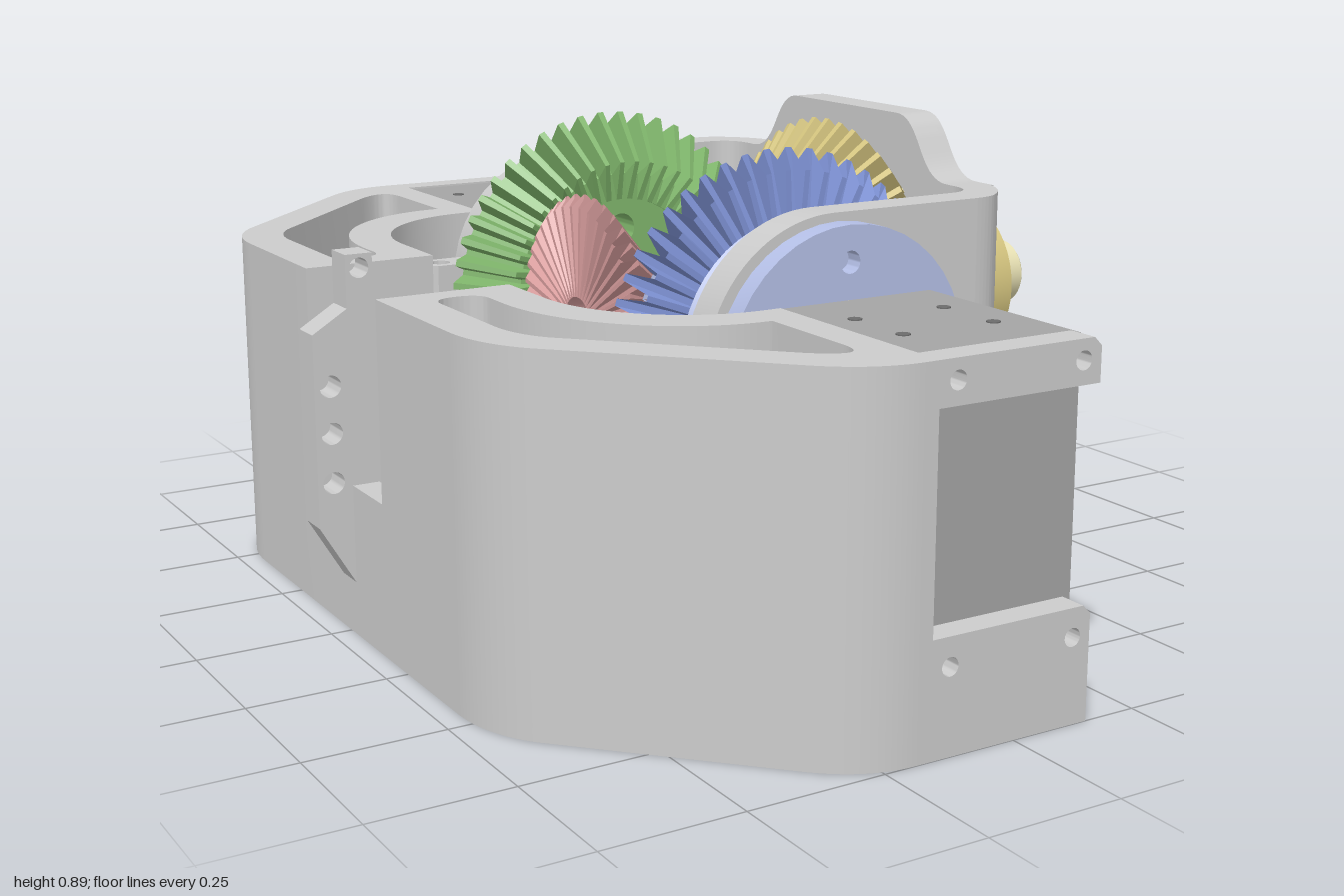
import * as THREE from 'three';
import { toCreasedNormals } from 'three/addons/utils/BufferGeometryUtils.js';

const GREY = 0xcccccc, MOTOR = 0xa4a4a4, DARK = 0x6c6c6c, BLUE = 0x7f93d6, PALE_BLUE = 0xb4bfe6,
  GREEN = 0x7fb56b, YELLOW = 0xd6c680, PALE_YELLOW = 0xe8e1b4, PINK = 0xd69c9c;
const AXIS_Y = 0.515, H = 0.64;

function add(parent, name, geo, color = GREY, side = THREE.FrontSide) {
  const mesh = new THREE.Mesh(geo, new THREE.MeshStandardMaterial({ color, side }));
  mesh.name = name;
  parent.add(mesh);
  return mesh;
}
function box(x0, x1, y0, y1, z0, z1) {
  return new THREE.BoxGeometry(x1 - x0, y1 - y0, Math.abs(z1 - z0))
    .translate((x0 + x1) / 2, (y0 + y1) / 2, (z0 + z1) / 2);
}
const poly = pts => new THREE.Shape(pts.map(p => new THREE.Vector2(p[0], p[1])));
function hole(shape, x, y, r) {
  shape.holes.push(new THREE.Path().absarc(x, y, r, 0, Math.PI * 2, true));
  return shape;
}
function extrude(shape, depth) {
  const g = new THREE.ExtrudeGeometry(shape, { depth, bevelEnabled: false, curveSegments: 20 });
  return toCreasedNormals(g, 0.5);
}
// plan shape (x, z) raised from y0 to y1
const slab = (shape, y0, y1) => extrude(shape, y1 - y0).rotateX(Math.PI / 2).translate(0, y1, 0);
const lathe = (pts, seg = 48, start = 0, length = Math.PI * 2) => toCreasedNormals(
  new THREE.LatheGeometry(pts.map(p => new THREE.Vector2(p[0], p[1])), seg, start, length), 0.5);
// disc on the z axis with a ring of holes
function holedDisc(r, holeR, ringR, z0, z1) {
  const s = new THREE.Shape().absarc(0, 0, r, 0, Math.PI * 2);
  for (let k = 0; k < 4; k++) {
    const a = k * Math.PI / 2;
    hole(s, ringR * Math.cos(a), ringR * Math.sin(a), holeR);
  }
  return extrude(s, z1 - z0).translate(0, 0, z0);
}
// 45 degree bevel gear on the z axis, apex at the origin
function bevelGear(teeth, s0, s1, bore, h0, phase = 0) {
  const steps = [[0, -1], [0.26, -1], [0.48, 1], [0.76, 1]];
  const h1 = h0 * s1 / s0, pos = [], index = [], n = teeth * 4;
  for (let i = 0; i < n; i++) {
    const [t, h] = steps[i % 4];
    const a = (Math.floor(i / 4) + t + phase) / teeth * Math.PI * 2;
    const profile = [[bore, s0 + h0], [s0 + h * h0, s0 - h * h0], [s1 + h * h1, s1 - h * h1], [bore, s1 + h1]];
    for (const [r, z] of profile) pos.push(r * Math.cos(a), r * Math.sin(a), z);
    for (let j = 0; j < 4; j++) {
      const k = (j + 1) % 4, m = (i + 1) % n;
      index.push(i * 4 + j, i * 4 + k, m * 4 + k, i * 4 + j, m * 4 + k, m * 4 + j);
    }
  }
  const g = new THREE.BufferGeometry();
  g.setAttribute('position', new THREE.Float32BufferAttribute(pos, 3));
  g.setIndex(index);
  const flat = g.toNonIndexed();
  flat.computeVertexNormals();
  return flat;
}

function frameSide(parent, s) {
  // outer wall and curved inner wall around a through pocket
  const wall = new THREE.Shape();
  wall.moveTo(-0.71, 0.16 * s);
  wall.lineTo(-0.71, 0.45 * s);
  wall.quadraticCurveTo(-0.71, 0.55 * s, -0.65, 0.62 * s);
  wall.lineTo(-0.35, 0.93 * s);
  wall.quadraticCurveTo(-0.28, 1 * s, -0.19, 1 * s);
  wall.lineTo(-0.165, 1 * s);
  wall.lineTo(-0.165, 0.57 * s);
  wall.lineTo(-0.2, 0.57 * s);
  wall.bezierCurveTo(-0.34, 0.57 * s, -0.46, 0.45 * s, -0.46, 0.3 * s);
  wall.lineTo(-0.46, 0.16 * s);
  const pocket = new THREE.Path();
  pocket.moveTo(-0.63, 0.25 * s);
  pocket.quadraticCurveTo(-0.63, 0.21 * s, -0.585, 0.21 * s);
  pocket.quadraticCurveTo(-0.54, 0.21 * s, -0.54, 0.25 * s);
  pocket.lineTo(-0.54, 0.3 * s);
  pocket.bezierCurveTo(-0.54, 0.49 * s, -0.4, 0.645 * s, -0.23, 0.645 * s);
  pocket.lineTo(-0.23, 0.84 * s);
  pocket.quadraticCurveTo(-0.23, 0.93 * s, -0.31, 0.86 * s);
  pocket.lineTo(-0.59, 0.57 * s);
  pocket.quadraticCurveTo(-0.63, 0.52 * s, -0.63, 0.45 * s);
  wall.holes.push(pocket);
  add(parent, 'frameWall', slab(wall, 0, H));

  // motor mount
  const floor = poly([[-0.165, 0.56 * s], [0.15, 0.56 * s], [0.15, s], [-0.165, s]]);
  for (const x of [-0.1, 0.08]) for (const z of [0.69, 0.82]) hole(floor, x, z * s, 0.015);
  add(parent, 'mountFloor', slab(floor, 0, 0.11));
  for (const [y0, y1, hy] of [[0.11, 0.2, 0.15], [0.565, H, 0.605]]) {
    const bar = poly([[-0.165, y0], [0.15, y0], [0.15, y1 - 0.015], [0.135, y1], [-0.165, y1]]);
    hole(hole(bar, -0.13, hy, 0.016), 0.115, hy, 0.016);
    add(parent, 'mountBar', extrude(bar, 0.055)).position.z = s > 0 ? 0.945 : -1;
  }
  add(parent, 'motor', box(-0.165, 0.15, 0.11, 0.636, 0.56 * s, 0.95 * s), MOTOR);
  for (const z of [0.69, 0.82]) {
    for (const x of [-0.1, 0.08])
      add(parent, 'screwHole', new THREE.CylinderGeometry(0.012, 0.012, 0.004, 12), DARK).position.set(x, 0.636, z * s);
    for (const y of [0.19, 0.465])
      add(parent, 'screwHole', new THREE.CylinderGeometry(0.012, 0.012, 0.004, 12).rotateZ(Math.PI / 2), DARK)
        .position.set(0.15, y, z * s);
  }
}

function frameMiddle(parent) {
  const plate = poly([[-0.71, -0.2], [-0.46, -0.22], [-0.33, -0.21], [-0.27, -0.17], [-0.245, -0.1],
    [-0.245, 0.1], [-0.27, 0.17], [-0.33, 0.21], [-0.46, 0.22], [-0.71, 0.2]]);
  for (const x of [-0.525, -0.39]) for (const z of [-0.09, 0.09]) hole(plate, x, z, 0.023);
  add(parent, 'middlePlate', slab(plate, 0, 0.11));
  add(parent, 'lowBackWall', box(-0.71, -0.66, 0.1, 0.28, -0.17, 0.17));
  // upright rear bracket
  const bracket = poly([[-0.66, 0.1], [-0.66, 0.695], [-0.71, 0.695], [-0.71, 0.6], [-0.775, 0.56], [-0.775, 0.21], [-0.71, 0.1]]);
  for (const y of [0.29, 0.38, 0.465]) hole(bracket, -0.745, y, 0.02);
  hole(bracket, -0.685, 0.67, 0.018);
  add(parent, 'rearBracket', extrude(bracket, 0.06).translate(0, 0, -0.03));
}

function carrierSide(parent, discColor) {
  const arm = new THREE.Shape();
  arm.moveTo(0.31, -0.258);
  arm.lineTo(0.31, 0.258);
  arm.lineTo(0, 0.258);
  arm.absarc(0, 0, 0.258, Math.PI / 2, Math.PI * 1.5);
  add(parent, 'carrierArm', extrude(arm, 0.07).translate(0, 0, 0.415));
  const ear = poly([[-0.2, 0.415], [-0.2, 0.485], [-0.335, 0.485], [-0.355, 0.465], [-0.355, 0.435], [-0.335, 0.415]]);
  add(parent, 'carrierEar', slab(hole(ear, -0.315, 0.45, 0.02), -0.05, 0.05));
  // rounded corner joining arm and plate
  const corner = new THREE.Shape();
  corner.moveTo(0.3, 0.415);
  corner.quadraticCurveTo(0.36, 0.415, 0.36, 0.35);
  corner.lineTo(0.43, 0.35);
  corner.quadraticCurveTo(0.425, 0.42, 0.36, 0.47);
  corner.quadraticCurveTo(0.34, 0.485, 0.3, 0.485);
  add(parent, 'carrierCorner', slab(corner, -0.258, 0.258));
  const tab = poly([[0.31, 0.42], [0.41, 0.42], [0.41, 0.485], [0.31, 0.485]]);
  add(parent, 'cornerTab', slab(hole(tab, 0.385, 0.46, 0.018), -0.033, 0.033));
  // drive spool with holed flange and motor shaft
  add(parent, 'spool', lathe([[0, 0.345], [0.22, 0.345], [0.235, 0.365], [0.19, 0.4], [0.19, 0.47], [0.235, 0.5], [0, 0.5]])
    .rotateX(Math.PI / 2), discColor);
  add(parent, 'spoolFlange', holedDisc(0.245, 0.02, 0.18, 0.495, 0.535), discColor);
  add(parent, 'motorShaft', new THREE.CylinderGeometry(0.115, 0.115, 0.05, 40).rotateX(Math.PI / 2).translate(0, 0, 0.55));
}

function outputHub(parent) {
  const hub = new THREE.Group();
  hub.name = 'outputHub';
  hub.rotation.y = Math.PI / 2;
  parent.add(hub);
  add(hub, 'hubFlange', holedDisc(0.23, 0.02, 0.185, 0.425, 0.45), YELLOW);
  add(hub, 'hubCollar', holedDisc(0.155, 0.02, 0.11, 0.565, 0.67), YELLOW);
  const shell = [[0.12, 0.44], [0.225, 0.44], [0.19, 0.475], [0.168, 0.515], [0.155, 0.57], [0.115, 0.57], [0.12, 0.44]];
  for (let k = 0; k < 4; k++) {
    const a = Math.PI / 4 + k * Math.PI / 2, gap = 0.15;
    add(hub, 'hubRib', lathe(shell, 14, a + gap, Math.PI / 2 - 2 * gap).rotateX(Math.PI / 2), YELLOW, THREE.DoubleSide);
    const boss = add(hub, 'boltBoss', lathe([[0, 0.44], [0.036, 0.44], [0.036, 0.475], [0.02, 0.475], [0.02, 0.455], [0, 0.455]], 20)
      .rotateX(Math.PI / 2), YELLOW);
    boss.position.set(0.175 * Math.cos(a), 0.175 * Math.sin(a), 0);
  }
  add(hub, 'outputShaft', lathe([[0, 0.2], [0.065, 0.2], [0.065, 0.77], [0.06, 0.775], [0.02, 0.775], [0.02, 0.755], [0, 0.755]], 32)
    .rotateX(Math.PI / 2), PALE_YELLOW);
}

export function createModel() {
  const model = new THREE.Group();
  const frame = new THREE.Group();
  frame.name = 'frame';
  model.add(frame);
  frameSide(frame, 1);
  frameSide(frame, -1);
  frameMiddle(frame);

  const drive = new THREE.Group();
  drive.name = 'differential';
  drive.position.y = AXIS_Y;
  model.add(drive);

  // U-shaped carrier
  for (const [rx, color] of [[0, PALE_BLUE], [Math.PI, GREY]]) {
    const side = new THREE.Group();
    side.name = 'carrierSide';
    side.rotation.x = rx;
    drive.add(side);
    carrierSide(side, color);
  }
  const plate = new THREE.Shape();
  plate.moveTo(0.17, 0.375);
  plate.bezierCurveTo(0.25, 0.375, 0.24, 0.258, 0.33, 0.258);
  plate.lineTo(0.38, 0.258);
  plate.lineTo(0.38, -0.258);
  plate.lineTo(0.33, -0.258);
  plate.bezierCurveTo(0.24, -0.258, 0.25, -0.375, 0.17, -0.375);
  plate.lineTo(-0.17, -0.375);
  plate.bezierCurveTo(-0.25, -0.375, -0.24, -0.258, -0.33, -0.258);
  plate.lineTo(-0.38, -0.258);
  plate.lineTo(-0.38, 0.258);
  plate.lineTo(-0.33, 0.258);
  plate.bezierCurveTo(-0.24, 0.258, -0.25, 0.375, -0.17, 0.375);
  add(drive, 'carrierPlate', extrude(plate, 0.07).rotateY(Math.PI / 2).translate(0.36, 0, 0));

  // large gears, then the small inner set
  const large = phase => bevelGear(48, 0.332, 0.245, 0.18, 0.018, phase);
  const small = phase => bevelGear(40, 0.23, 0.125, 0.05, 0.011, phase);
  add(drive, 'blueGear', large(0), BLUE);
  add(drive, 'blueGearWeb', holedDisc(0.185, 0.025, 0.13, 0.262, 0.345), BLUE);
  add(drive, 'blueHub', new THREE.CylinderGeometry(0.06, 0.06, 0.22, 32).rotateX(Math.PI / 2).translate(0, 0, 0.24), BLUE);
  add(drive, 'greenGear', large(0), GREEN).rotation.y = Math.PI;
  add(drive, 'greenGearWeb', holedDisc(0.185, 0.03, 0.12, 0.262, 0.345), GREEN).rotation.y = Math.PI;
  add(drive, 'outputGear', large(0.5), YELLOW).rotation.y = Math.PI / 2;
  add(drive, 'outputGearWeb', holedDisc(0.185, 0.025, 0.13, 0.262, 0.36), YELLOW).rotation.y = Math.PI / 2;
  add(drive, 'innerBlueGear', small(0), PALE_BLUE);
  add(drive, 'innerOutputGear', small(0.5), PALE_YELLOW).rotation.y = Math.PI / 2;
  add(drive, 'pinkGear', small(0.5), PINK).rotation.y = -Math.PI / 2;
  outputHub(drive);
  return model;
}
